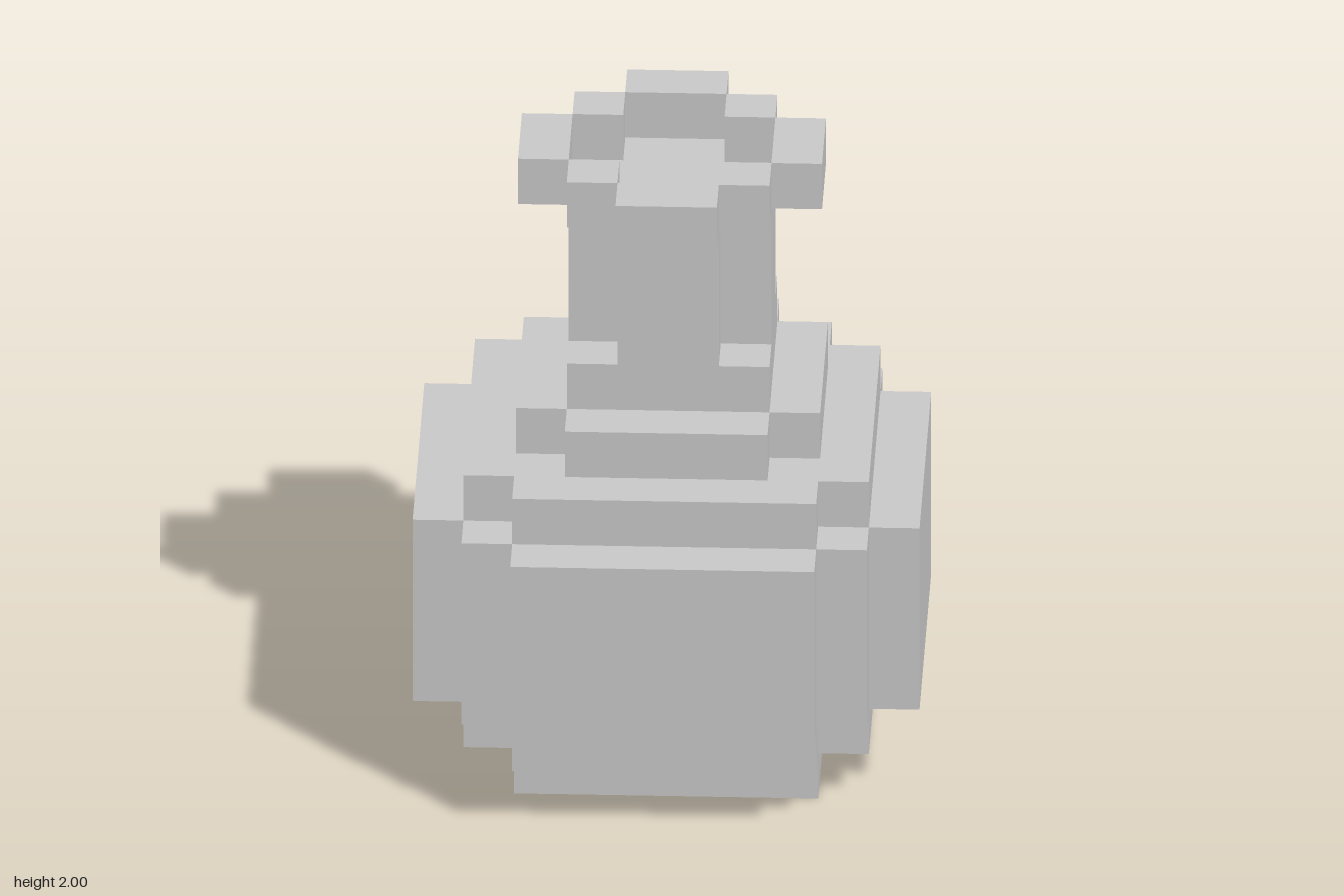
import * as THREE from 'three';

const U = 2 / 13; // one block
const material = new THREE.MeshStandardMaterial({ color: 0xcccccc, flatShading: true });

// Layer with stepped corners: one quadrant's points, repeated by quarter turns
function layer(name, quadrant, y0, y1) {
  const points = [];
  for (let i = 0; i < 4; i++) {
    const c = Math.round(Math.cos(i * Math.PI / 2)), s = Math.round(Math.sin(i * Math.PI / 2));
    for (const [x, y] of quadrant) points.push(new THREE.Vector2((c * x - s * y) * U, (s * x + c * y) * U));
  }
  const geometry = new THREE.ExtrudeGeometry(new THREE.Shape(points), { depth: (y1 - y0) * U, bevelEnabled: false });
  geometry.rotateX(-Math.PI / 2);
  const mesh = new THREE.Mesh(geometry, material);
  mesh.name = name;
  mesh.position.y = y0 * U;
  return mesh;
}

const square = a => [[a, a]];
const cross = (a, b) => [[a, b], [b, b], [b, a]];

function block(name, w, d, x, z) {
  const mesh = new THREE.Mesh(new THREE.BoxGeometry(w * U, U, d * U), material);
  mesh.name = name;
  mesh.position.set(x * U, 12.5 * U, z * U);
  return mesh;
}

export function createModel() {
  const flask = new THREE.Group();
  flask.name = 'flask';

  // Round body, stepped in and out
  flask.add(
    layer('base', square(3), 0, 1),
    layer('lowerBody', cross(4, 3), 1, 2),
    layer('belly', [[5, 3], [4, 3], [4, 4], [3, 4], [3, 5]], 2, 6),
    layer('upperBody', cross(4, 3), 6, 7),
    layer('shoulder', cross(3, 2), 7, 8),
    // Neck
    layer('neckFoot', square(2), 8, 9),
    layer('neck', cross(2, 1), 9, 12),
  );

  // Rim ring: four bars and four corner blocks around a recessed top
  const rim = new THREE.Group();
  rim.name = 'rim';
  for (const s of [-1, 1]) {
    rim.add(block('rimBar', 2, 1, 0, 2.5 * s), block('rimBar', 1, 2, 2.5 * s, 0));
    for (const t of [-1, 1]) rim.add(block('rimCorner', 1, 1, 1.5 * s, 1.5 * t));
  }
  flask.add(rim);
  return flask;
}
